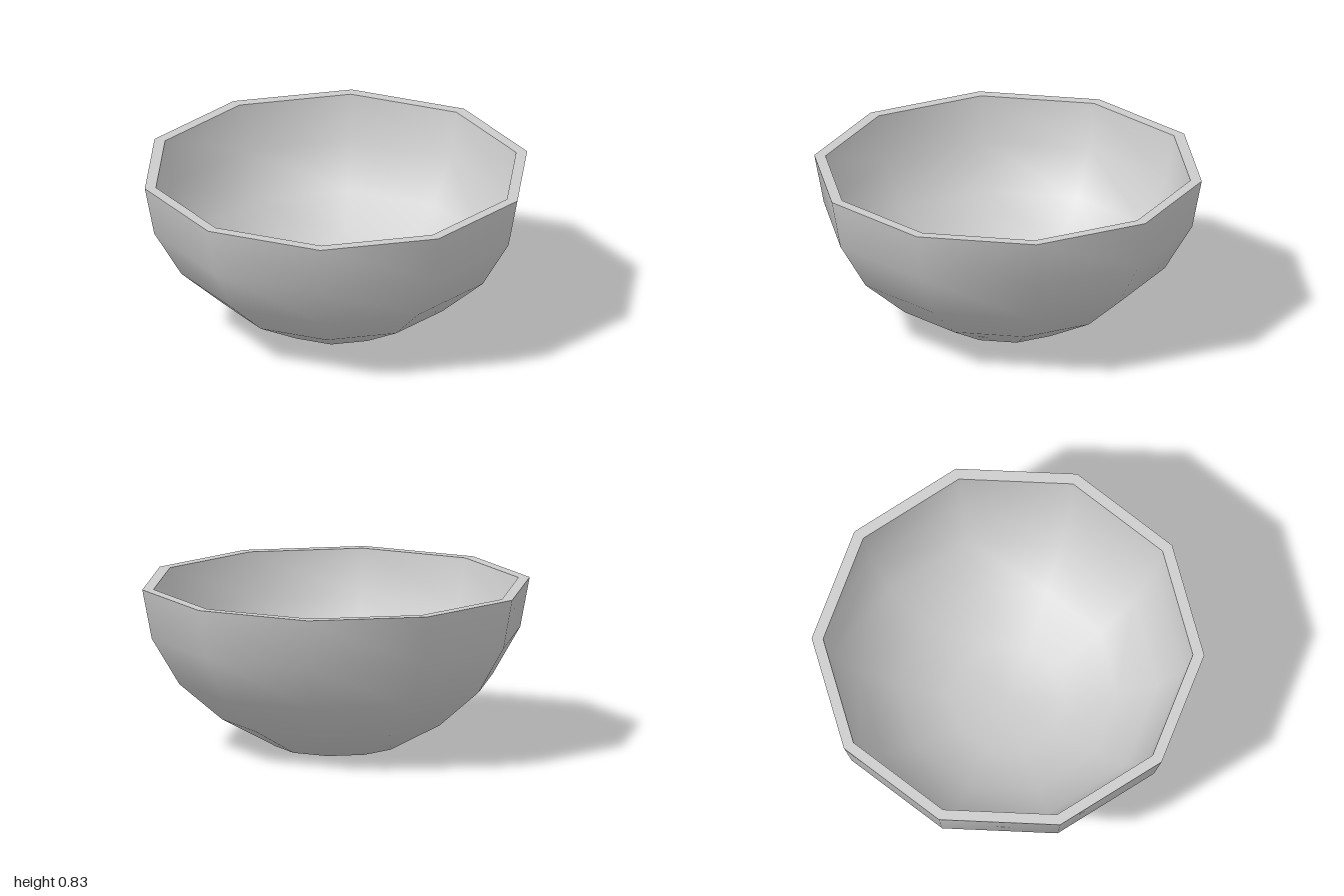
import * as THREE from 'three';

const SIDES = 10;
const TOP = 0.835;

// Outer and inner wall profiles as [radius, height]
const outer = [[0, 0], [0.309, 0], [0.588, 0.15], [0.809, 0.34], [0.951, 0.58], [1, TOP]];
const inner = [[0.942, TOP], [0.896, 0.6], [0.765, 0.38], [0.56, 0.2], [0.295, 0.06], [0, 0.06]];
const rim = [outer[outer.length - 1], inner[0]];

export function createModel() {
  const group = new THREE.Group();
  group.name = 'bowl';
  const material = new THREE.MeshStandardMaterial({ color: 0xcccccc });

  // Ten-sided turned surface with a corner on the x axis, smooth along its profile
  const addTurned = (name, profile) => {
    const points = profile.map(([r, y]) => new THREE.Vector2(r, y));
    const geometry = new THREE.LatheGeometry(points, SIDES, Math.PI / 2);
    const mesh = new THREE.Mesh(geometry, material);
    mesh.name = name;
    group.add(mesh);
  };

  addTurned('outerWall', outer);
  addTurned('rim', rim);
  addTurned('innerWall', inner);
  return group;
}
